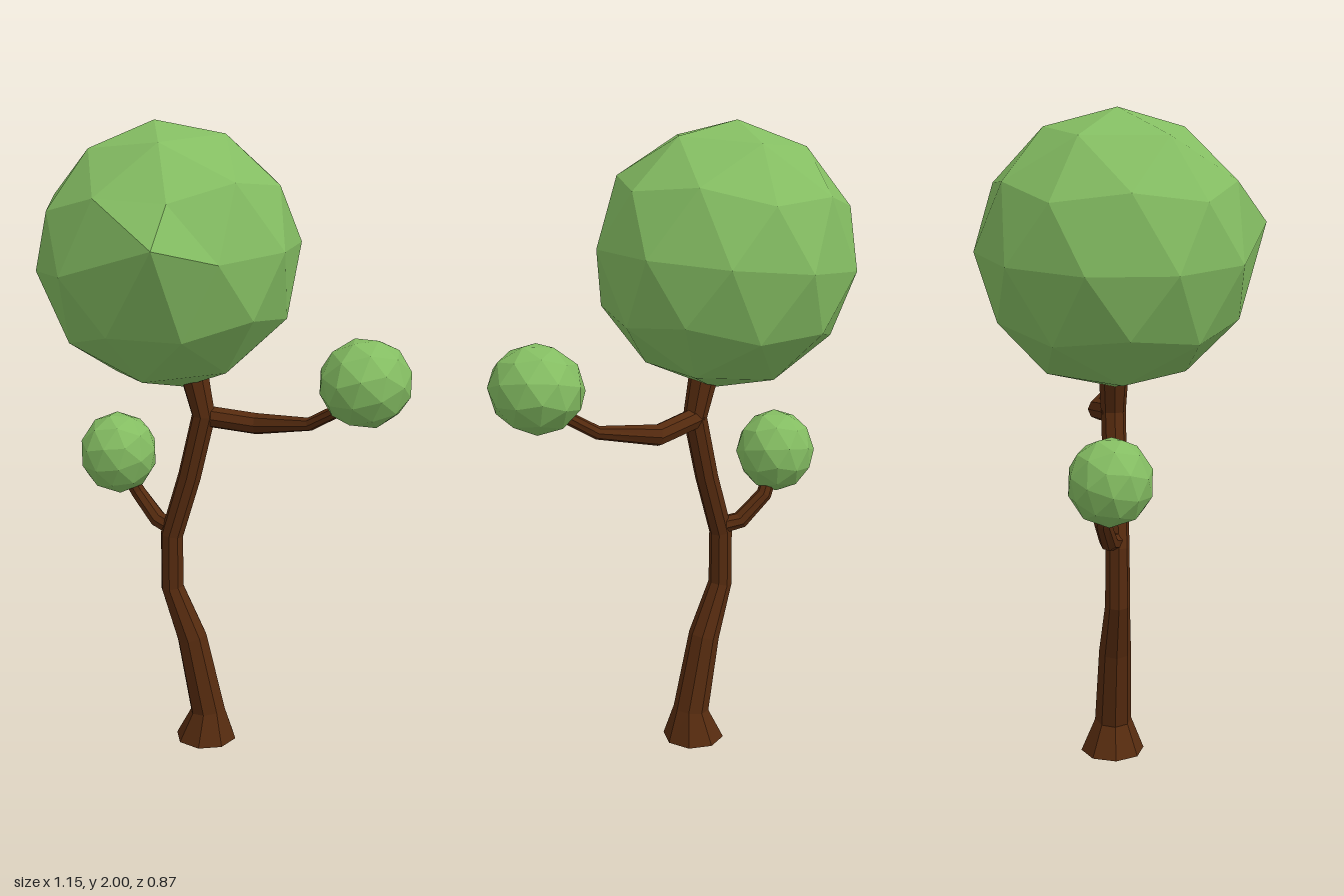
import * as THREE from 'three';

const leaf = new THREE.MeshStandardMaterial({ color: 0x84bd62, flatShading: true });
leaf.name = 'leafGreen';
const bark = new THREE.MeshStandardMaterial({ color: 0x562b0f, flatShading: true });
bark.name = 'barkBrown';

// Faceted limb: 8-sided rings [x, y, z, radius] swept along a path, closed at both ends
function limb(name, rings, levelBase = false, sides = 8) {
  const centres = rings.map(([x, y, z]) => new THREE.Vector3(x, y, z));
  const depth = new THREE.Vector3(0, 0, 1);
  const last = rings.length - 1;
  const loops = centres.map((c, i) => {
    const t = centres[Math.min(i + 1, last)].clone().sub(centres[Math.max(i - 1, 0)]).normalize();
    if (levelBase && i === 0) t.set(0, 1, 0);
    const u = t.clone().cross(depth).normalize();
    const w = u.clone().cross(t);
    return Array.from({ length: sides }, (_, k) => {
      const a = (k / sides) * Math.PI * 2;
      return c.clone()
        .addScaledVector(u, Math.cos(a) * rings[i][3])
        .addScaledVector(w, Math.sin(a) * rings[i][3]);
    });
  });
  const pts = [];
  for (let k = 0; k < sides; k++) {
    const n = (k + 1) % sides;
    for (let i = 0; i < last; i++) {
      const lo = loops[i], up = loops[i + 1];
      pts.push(lo[k], up[k], lo[n], up[k], up[n], lo[n]);
    }
    pts.push(centres[0], loops[0][k], loops[0][n]);
    pts.push(centres[last], loops[last][n], loops[last][k]);
  }
  const geo = new THREE.BufferGeometry().setFromPoints(pts);
  geo.computeVertexNormals();
  const mesh = new THREE.Mesh(geo, bark);
  mesh.name = name;
  return mesh;
}

// Faceted ball of leaves; tilt is the Euler rotation of its facets
function foliage(name, centre, radii, tilt, peak) {
  const geo = new THREE.IcosahedronGeometry(1, 1);
  geo.applyMatrix4(new THREE.Matrix4().makeRotationFromEuler(new THREE.Euler(...tilt)));
  geo.scale(...radii);
  // pull the foremost vertex out to a peak
  if (peak) {
    const pos = geo.attributes.position;
    for (let i = 0; i < pos.count; i++) {
      if (Math.hypot(pos.getX(i), pos.getY(i)) < 0.02 && pos.getZ(i) > 0) pos.setXYZ(i, ...peak);
    }
  }
  geo.computeVertexNormals();
  const mesh = new THREE.Mesh(geo, leaf);
  mesh.name = name;
  mesh.position.set(...centre);
  return mesh;
}

export function createModel() {
  const tree = new THREE.Group();
  tree.name = 'tree';

  // Trunk with flared foot
  tree.add(limb('trunk', [
    [-0.08, 0, -0.025, 0.1],
    [-0.073, 0.1, -0.022, 0.058],
    [-0.125, 0.35, -0.022, 0.05],
    [-0.19, 0.52, -0.022, 0.038],
    [-0.19, 0.7, -0.022, 0.037],
    [-0.13, 0.9, -0.022, 0.037],
    [-0.083, 1.1, -0.022, 0.038],
    [-0.118, 1.25, -0.025, 0.047],
  ], true));

  // Branches
  tree.add(limb('leftBranch', [
    [-0.09, 1.1, -0.025, 0.034],
    [0.08, 1.077, -0.05, 0.034],
    [0.26, 1.102, 0.01, 0.021],
    [0.36, 1.165, 0.05, 0.02],
    [0.43, 1.23, 0.06, 0.018],
  ]));
  tree.add(limb('rightBranch', [
    [-0.18, 0.72, -0.025, 0.03],
    [-0.245, 0.735, -0.055, 0.028],
    [-0.32, 0.815, -0.082, 0.025],
    [-0.37, 0.91, -0.07, 0.022],
  ]));

  // Foliage
  const deg = Math.PI / 180;
  tree.add(foliage('crown', [-0.19, 1.594, -0.028], [0.408, 0.408, 0.41],
    [0, 0, -25.7 * deg], [0.08, 0.076, 0.463]));
  tree.add(foliage('leftFoliage', [0.435, 1.252, 0.065], [0.14, 0.135, 0.157], [0.2, 0.5, -0.3]));
  tree.add(foliage('rightFoliage', [-0.378, 0.95, -0.065], [0.125, 0.132, 0.127], [0.2, 0.3, -0.4]));

  return tree;
}
